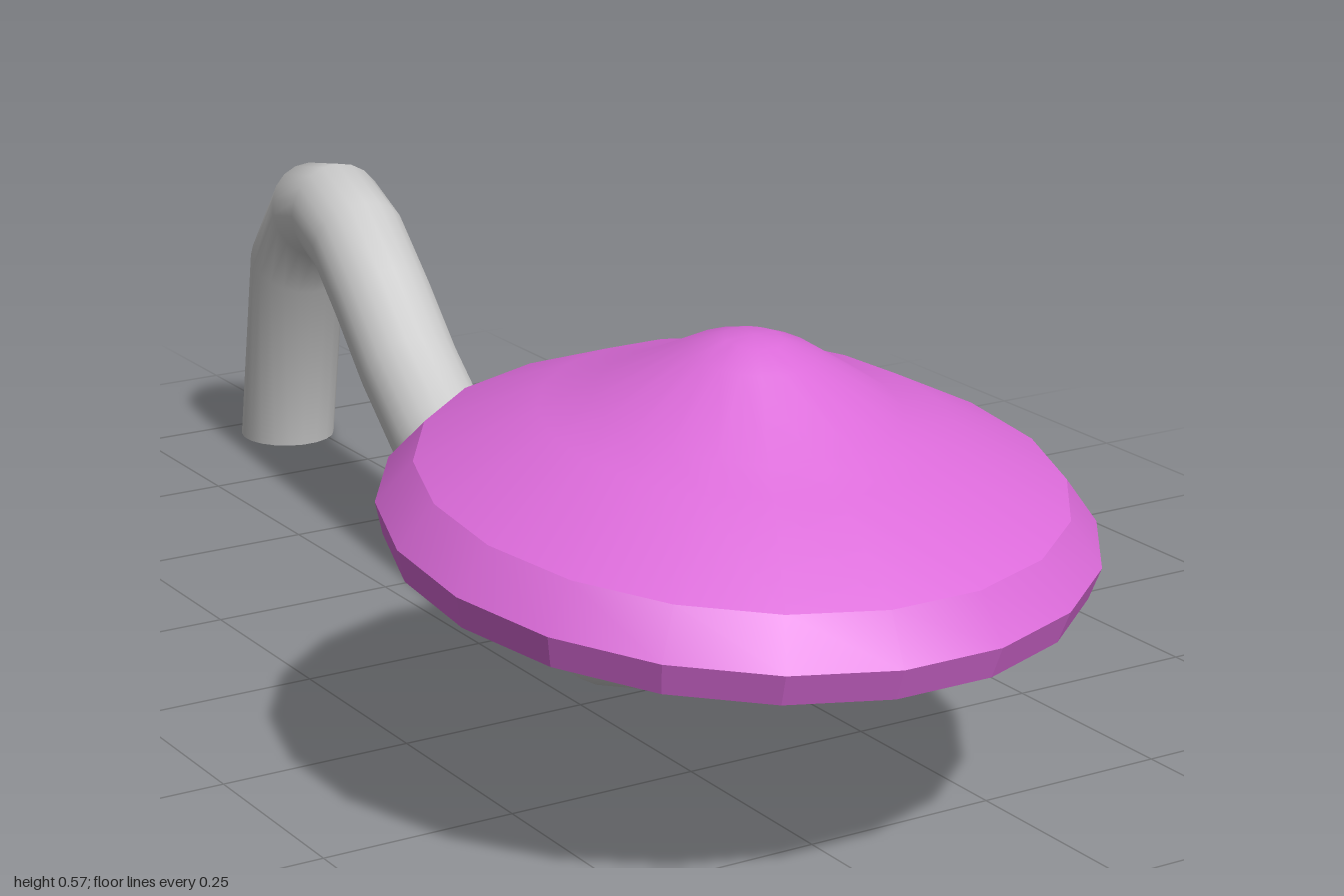
import * as THREE from 'three';
import { toCreasedNormals } from 'three/addons/utils/BufferGeometryUtils.js';

const SIDES = 20;
const STEM_RADIUS = 0.07;
const LEAN = 0.14; // sideways drift of the stem per unit of z

// Mitred tube through the points, its last ring cut level with the ground
function bentTube(points, radius, sides) {
  const side = new THREE.Vector3(1, 0, LEAN).normalize();
  const pos = [], index = [];
  const last = points.length - 1;
  const dir = i => points[i + 1].clone().sub(points[i]).normalize();
  points.forEach((p, i) => {
    const before = dir(Math.max(i - 1, 0));
    const after = dir(Math.min(i, last - 1));
    const t = i === last ? new THREE.Vector3(0, -1, 0) : before.clone().add(after).normalize();
    const across = t.clone().cross(side).normalize().divideScalar(i === last ? 1 : t.dot(before));
    for (let j = 0; j < sides; j++) {
      const a = (j / sides) * Math.PI * 2;
      const v = p.clone()
        .addScaledVector(side, Math.cos(a) * radius)
        .addScaledVector(across, Math.sin(a) * radius);
      pos.push(v.x, v.y, v.z);
    }
  });
  const start = pos.length / 3;
  pos.push(...points[0].toArray(), ...points[last].toArray());
  for (let j = 0; j < sides; j++) {
    const k = (j + 1) % sides;
    for (let i = 0; i < last; i++) {
      const a = i * sides, b = a + sides;
      index.push(a + j, a + k, b + j, a + k, b + k, b + j);
    }
    index.push(start, k, j, start + 1, last * sides + j, last * sides + k);
  }
  const g = new THREE.BufferGeometry();
  g.setAttribute('position', new THREE.Float32BufferAttribute(pos, 3));
  g.setIndex(index);
  return toCreasedNormals(g, 0.9);
}

export function createModel() {
  const group = new THREE.Group();
  group.name = 'mushroom';

  // Stem: [z, y] along its centre line, from under the cap to the ground
  const path = [
    [0.6, 0.34], [0.507, 0.25], [0.385, 0.135], [0.24, 0.088], [0.1, 0.077],
    [-0.04, 0.088], [-0.18, 0.125], [-0.31, 0.178], [-0.425, 0.243],
    [-0.525, 0.315], [-0.62, 0.376], [-0.705, 0.4], [-0.785, 0.383],
    [-0.875, 0.285], [-0.93, 0],
  ].map(([z, y]) => new THREE.Vector3((0.57 - z) * LEAN, y, z));
  const stem = new THREE.Mesh(
    bentTube(path, STEM_RADIUS, SIDES),
    new THREE.MeshStandardMaterial({ color: 0xcccccc }),
  );
  stem.name = 'stem';
  group.add(stem);

  // Cap: flat underside, thin rim and a stepped dome, tipped to the front
  const profile = [
    [0, 0], [0.408, 0], [0.419, 0.04], [0.378, 0.092], [0.24, 0.16],
    [0.178, 0.178], [0.075, 0.24], [0.035, 0.256], [0, 0.26],
  ].map(([r, h]) => new THREE.Vector2(r, h));
  const cap = new THREE.Mesh(
    toCreasedNormals(new THREE.LatheGeometry(profile, SIDES, Math.PI / SIDES), 0.29),
    new THREE.MeshStandardMaterial({ color: 0xda6ad8 }),
  );
  cap.name = 'cap';
  cap.position.set(0, 0.315, 0.583);
  cap.rotation.x = 0.11;
  group.add(cap);

  return group;
}
